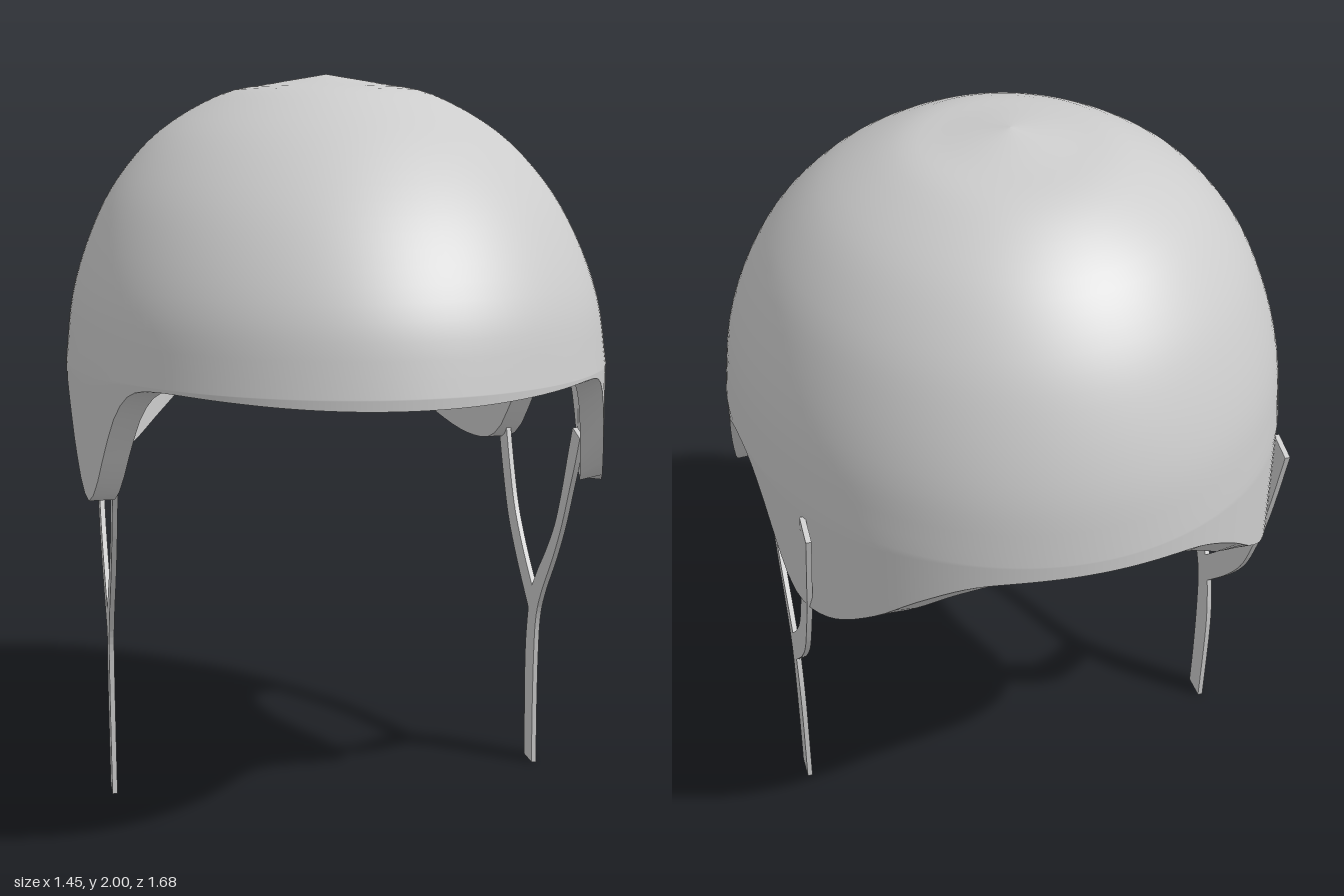
import * as THREE from 'three';

const COLS = 160, DOME = 28, SKIRT = 10, BASE = 1.25, WALL = 0.06;

// dome levels from crown to brow: height, half width, front z, back z
const LEVELS = [
  [2.0, 0, -0.1, -0.1], [1.975, 0.15, 0.06, -0.26], [1.945, 0.29, 0.22, -0.42],
  [1.85, 0.455, 0.41, -0.575], [1.72, 0.575, 0.575, -0.69], [1.58, 0.65, 0.70, -0.765],
  [1.42, 0.702, 0.795, -0.818], [BASE, 0.724, 0.838, -0.84],
];
const sideCurve = new THREE.CatmullRomCurve3(LEVELS.map(([y, x, f]) => new THREE.Vector3(x, y, f)), false, 'catmullrom', 0.5);
const backCurve = new THREE.CatmullRomCurve3(LEVELS.map(([y, , , b]) => new THREE.Vector3(0, y, b)), false, 'catmullrom', 0.5);

// rim height along z: brow, cheek flap, ear arch, rear flap, nape
const RIM = new THREE.SplineCurve([
  [0.86, 1.22], [0.7, 1.235], [0.55, 1.24], [0.47, 1.22], [0.41, 1.155], [0.36, 1.06], [0.31, 0.965],
  [0.26, 0.92], [0.21, 0.95], [0.15, 1.035], [0.07, 1.155], [0, 1.22], [-0.1, 1.245], [-0.19, 1.22],
  [-0.26, 1.14], [-0.32, 1.03], [-0.37, 0.95], [-0.43, 0.92], [-0.52, 0.94], [-0.62, 1.015],
  [-0.7, 1.105], [-0.78, 1.185], [-0.86, 1.22],
].map(p => new THREE.Vector2(...p))).getPoints(300);

function rimHeight(z) {
  let i = 1;
  while (i < RIM.length - 1 && RIM[i].x > z) i++;
  const a = RIM[i - 1], b = RIM[i];
  return THREE.MathUtils.mapLinear(z, a.x, b.x, a.y, b.y);
}

// point on the shell; inset 0 is the outer face, WALL the inner face
function shellPoint(row, col, inset) {
  const t = Math.min(row / DOME, 1), phi = (col / COLS) * Math.PI * 2;
  const s = sideCurve.getPoint(t), b = backCurve.getPoint(t).z;
  const rx = s.x * (1 - inset / 0.724), rz = (s.z - b) / 2 * (1 - inset / 0.84);
  const z = (s.z + b) / 2 + rz * Math.cos(phi);
  let y = BASE + (s.y - BASE) * (1 - inset / 0.75);
  if (row > DOME) y = THREE.MathUtils.lerp(BASE, rimHeight(z), (row - DOME) / SKIRT);
  return [rx * Math.sin(phi), y, z];
}

// closed band of quads over rows of points
function band(rows, pointAt, flip) {
  const pos = [], idx = [];
  for (let r = 0; r < rows; r++) for (let c = 0; c < COLS; c++) pos.push(...pointAt(r, c));
  for (let r = 0; r < rows - 1; r++) {
    for (let c = 0; c < COLS; c++) {
      const n = (c + 1) % COLS;
      const a = r * COLS + c, b = a + COLS, d = r * COLS + n, e = d + COLS;
      if (flip) idx.push(a, e, b, a, d, e);
      else idx.push(a, b, e, a, e, d);
    }
  }
  const g = new THREE.BufferGeometry();
  g.setAttribute('position', new THREE.Float32BufferAttribute(pos, 3));
  g.setIndex(idx);
  g.computeVertexNormals();
  return g;
}

// forked strap drawn in the side plane (z, y)
function strapGeometry() {
  const v = pts => pts.map(p => new THREE.Vector2(...p));
  const s = new THREE.Shape();
  s.moveTo(-0.128, 0);
  s.lineTo(-0.055, 0);
  // stem front edge and outer edge of the front arm
  s.splineThru(v([[-0.06, 0.15], [-0.058, 0.33], [-0.045, 0.45], [0, 0.54], [0.09, 0.66], [0.16, 0.77], [0.215, 0.88], [0.255, 0.96], [0.29, 1.04]]));
  s.lineTo(0.23, 1.06);
  // inside of the fork
  s.splineThru(v([[0.195, 0.975], [0.15, 0.86], [0.1, 0.76], [0.03, 0.67], [-0.04, 0.595], [-0.088, 0.535]]));
  s.splineThru(v([[-0.19, 0.635], [-0.27, 0.735], [-0.325, 0.85], [-0.37, 0.97], [-0.405, 1.08], [-0.437, 1.21]]));
  s.lineTo(-0.512, 1.188);
  // outer edge of the rear arm and stem back edge
  s.splineThru(v([[-0.465, 1.02], [-0.43, 0.91], [-0.39, 0.81], [-0.33, 0.69], [-0.24, 0.58], [-0.118, 0.46]]));
  s.splineThru(v([[-0.135, 0.36], [-0.138, 0.24], [-0.128, 0]]));
  const g = new THREE.ExtrudeGeometry(s, { depth: 0.014, bevelEnabled: false, curveSegments: 4 });
  g.rotateY(-Math.PI / 2);
  g.translate(0.007, 0, 0);
  return g;
}

export function createModel() {
  const model = new THREE.Group();
  model.name = 'helmet';
  const grey = new THREE.MeshStandardMaterial({ color: 0xcccccc });
  grey.name = 'light grey';
  const add = (name, geometry, parent = model) => {
    const m = new THREE.Mesh(geometry, grey);
    m.name = name;
    parent.add(m);
    return m;
  };

  // shell: outer face, lining and the rim joining them
  const shell = new THREE.Group();
  shell.name = 'shell';
  model.add(shell);
  const rows = DOME + SKIRT + 1;
  add('outerShell', band(rows, (r, c) => shellPoint(r, c, 0), false), shell);
  add('innerShell', band(rows, (r, c) => shellPoint(r, c, WALL), true), shell);
  add('rim', band(2, (r, c) => shellPoint(rows - 1, c, r * WALL), false), shell);

  // one strap on each side
  const strap = strapGeometry();
  add('leftStrap', strap).position.x = 0.62;
  add('rightStrap', strap).position.x = -0.62;
  return model;
}
